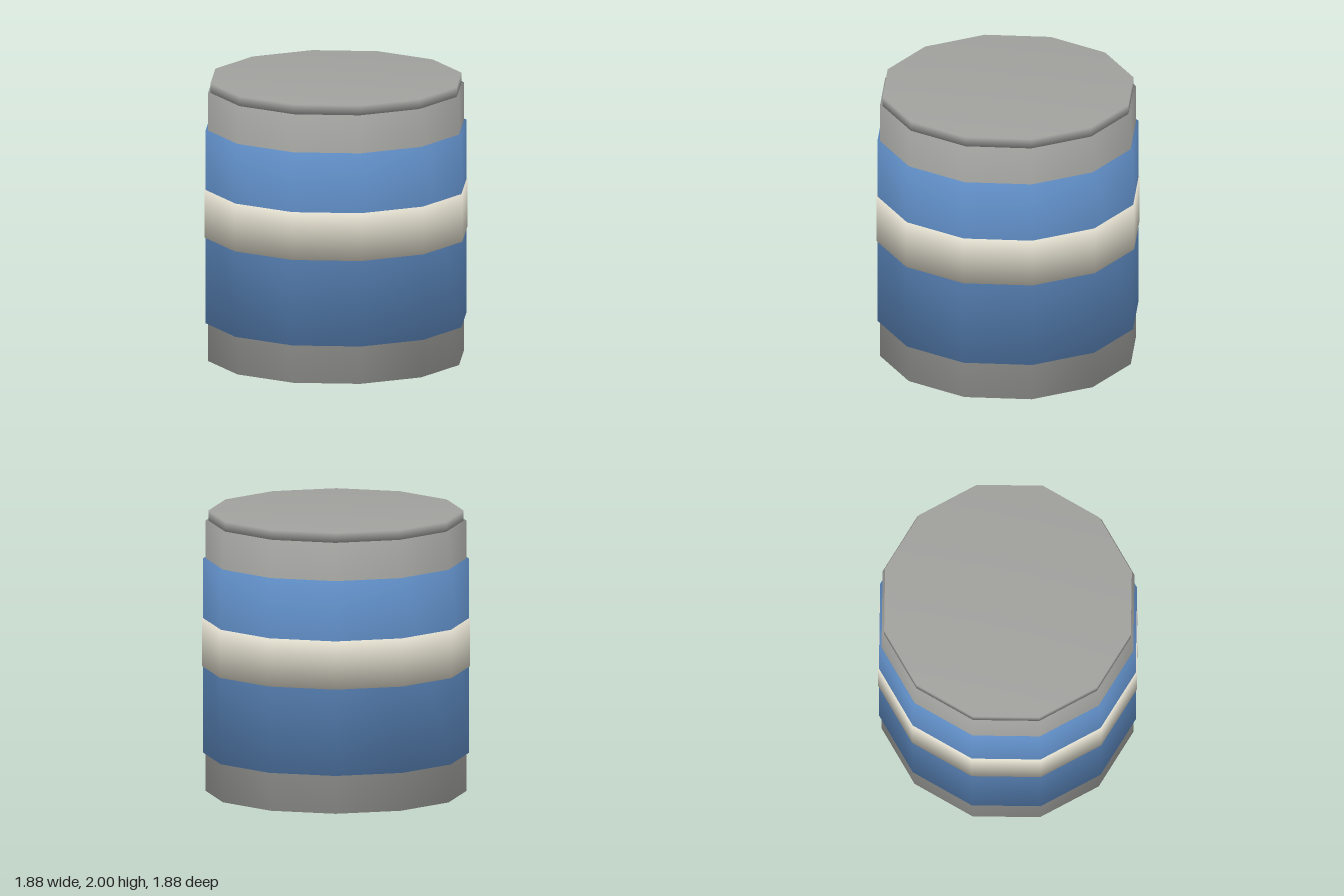
import * as THREE from 'three';

const SIDES = 12;

// Closed drum whose normals blend softly from wall to caps
function drum(name, radius, y0, y1, material) {
  const profile = [[0, y0], [radius, y0], [radius, y1], [0, y1]]
    .map(([x, y]) => new THREE.Vector2(x, y));
  const mesh = new THREE.Mesh(new THREE.LatheGeometry(profile, SIDES), material);
  mesh.name = name;
  return mesh;
}

export function createModel() {
  const mat = (name, color) => {
    const m = new THREE.MeshStandardMaterial({ color });
    m.name = name;
    return m;
  };
  const metal = mat('grey metal', 0xa0a09d);
  const blue = mat('blue label', 0x5e8bc2);
  const cream = mat('cream stripe', 0xdedacb);

  const can = new THREE.Group();
  can.name = 'can';
  can.add(
    drum('body', 0.915, 0, 1.93, metal),
    drum('lid', 0.897, 1.93, 2, metal),
    drum('label', 0.933, 0.273, 1.66, blue),
    drum('stripe', 0.94, 0.89, 1.233, cream)
  );
  return can;
}
